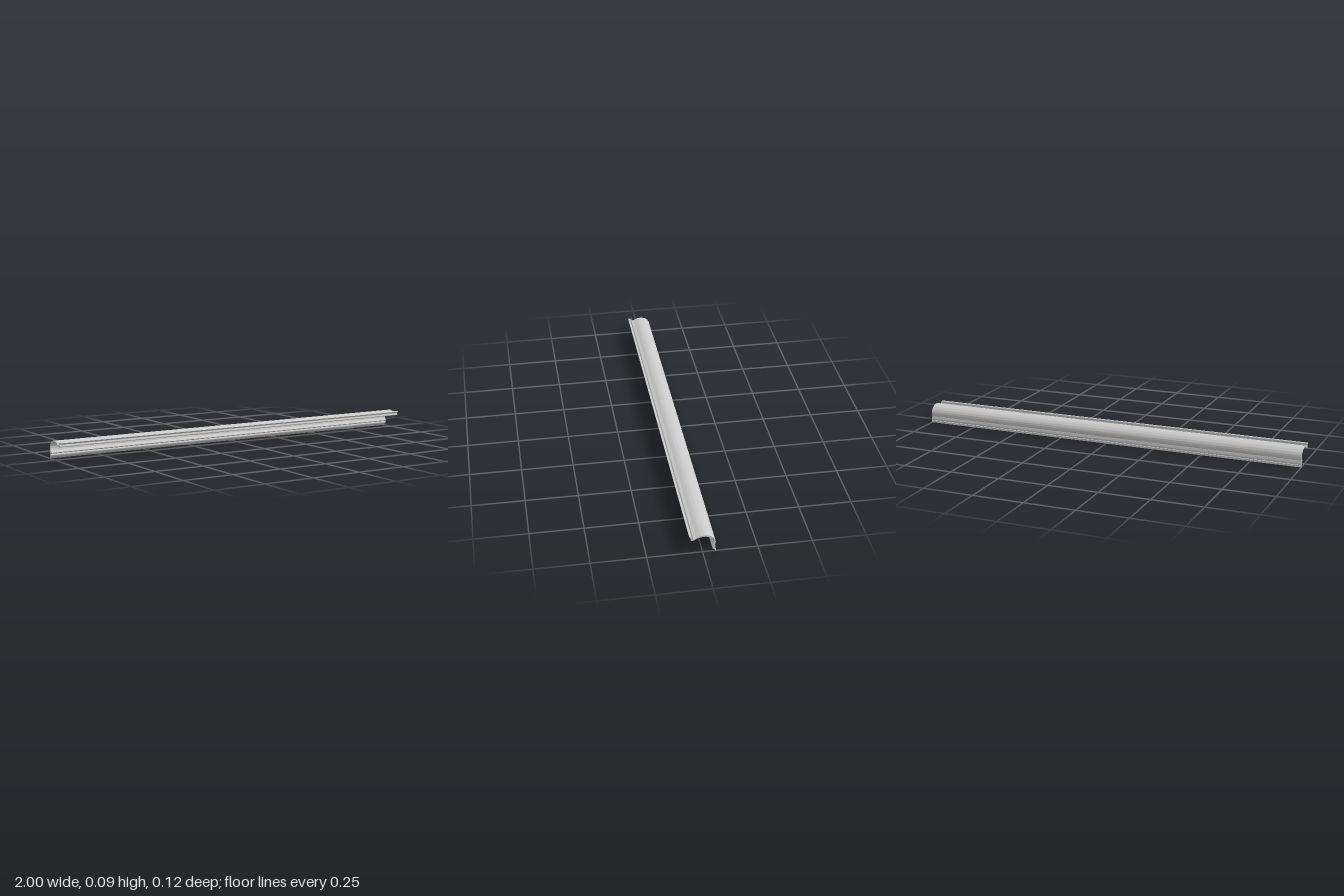
import * as THREE from 'three';
import { toCreasedNormals } from 'three/addons/utils/BufferGeometryUtils.js';

const vec = (pairs) => pairs.map(([s, y]) => new THREE.Vector2(s / 1000, y / 1000));

export function createModel() {
  const model = new THREE.Group();
  model.name = 'curvedMoulding';

  // Cross-section in thousandths: horizontal axis runs towards the back
  const section = new THREE.Shape();
  const line = (pairs) => vec(pairs).forEach((p) => section.lineTo(p.x, p.y));
  const curve = (pairs) => section.splineThru(vec(pairs));

  // Upper lip with its small clip notch
  section.moveTo(-0.061, 0.087);
  line([[-60, 89], [-53, 89]]);
  curve([[-51, 86], [-49, 83], [-48, 87], [-43, 90], [-42, 86], [-44, 78]]);

  // Outside of the arch
  curve([[-37, 76.5], [-26, 81], [-12, 87], [6, 90], [24, 88], [40, 81], [52, 69], [58, 55], [58, 42], [55, 32]]);

  // Lower bead and foot
  curve([[58, 25], [58, 16], [57, 11]]);
  line([[60, 10], [60, 0], [56, 1], [54, 7]]);
  curve([[48, 11], [45, 15], [45, 19], [49, 23]]);
  curve([[43, 26], [41, 29], [44, 33]]);

  // Inside of the arch
  curve([[49, 39], [51, 49], [50, 60], [44, 70], [33, 78], [19, 82], [6, 83], [-12, 81], [-26, 76], [-38, 69], [-46, 66]]);

  // Underside of the upper lip
  curve([[-53, 68], [-54, 73], [-51, 77], [-53, 82], [-57, 86]]);
  section.closePath();

  let geometry = new THREE.ExtrudeGeometry(section, { depth: 2, bevelEnabled: false, curveSegments: 5 });
  geometry.translate(0, 0, -1);
  geometry.rotateY(Math.PI / 2);
  geometry = toCreasedNormals(geometry, 0.7);

  const rail = new THREE.Mesh(geometry, new THREE.MeshStandardMaterial({ color: 0xcccccc }));
  rail.name = 'mouldingRail';
  model.add(rail);
  return model;
}
